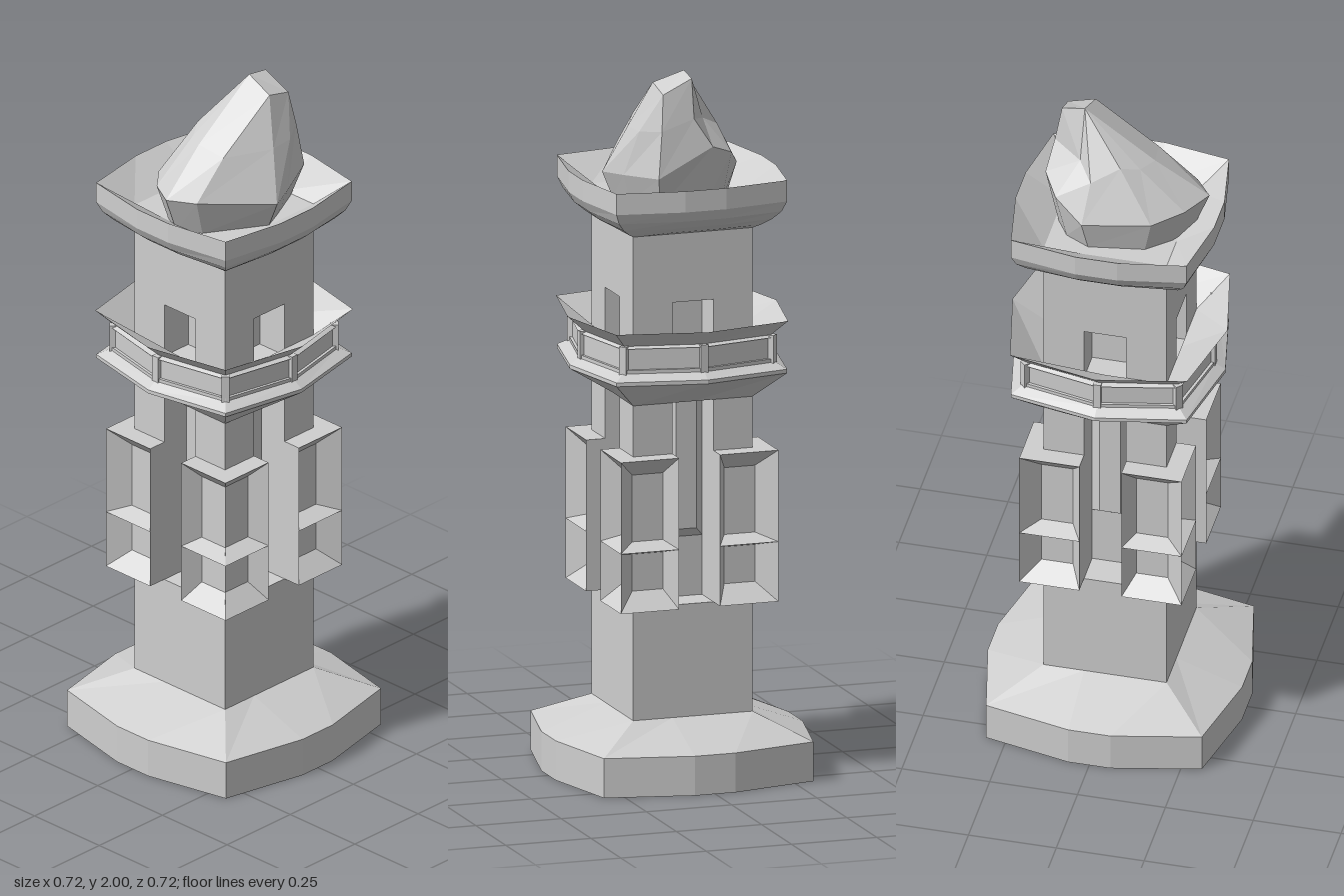
import * as THREE from 'three';

const stone = new THREE.MeshStandardMaterial({ color: 0xcfcfcf, side: THREE.DoubleSide });
stone.name = 'pale stone';

// Flat-faced skin through rings of [x, y, z] points, with optional caps
function loft(rings, capStart, capEnd) {
  const pos = [];
  const tri = (a, b, c) => pos.push(...a, ...b, ...c);
  const n = rings[0].length;
  for (let r = 0; r + 1 < rings.length; r++) {
    const a = rings[r], b = rings[r + 1];
    for (let i = 0; i < n; i++) {
      const j = (i + 1) % n;
      tri(a[i], a[j], b[j]);
      tri(a[i], b[j], b[i]);
    }
  }
  const last = rings[rings.length - 1];
  for (let i = 1; i + 1 < n; i++) {
    if (capStart) tri(rings[0][0], rings[0][i + 1], rings[0][i]);
    if (capEnd) tri(last[0], last[i], last[i + 1]);
  }
  const g = new THREE.BufferGeometry();
  g.setAttribute('position', new THREE.Float32BufferAttribute(pos, 3));
  g.computeVertexNormals();
  return g;
}

// Bulging square ring: corner distance c, side middle m, half width w of the flat middle
function bulge(y, c, m, w) {
  const side = w ? [[-c, c], [-w, m], [w, m]] : [[-c, c], [0, m]];
  const ring = [];
  for (let k = 0; k < 4; k++) {
    for (const p of side) {
      let [x, z] = p;
      for (let i = 0; i < k; i++) [x, z] = [z, -x];
      ring.push([x, y, z]);
    }
  }
  return ring;
}
const profile = (rows, w) => rows.map(([y, c, m]) => bulge(y, c, m, w));

export function createModel() {
  const model = new THREE.Group();
  const add = (geometry, name, parent = model) => {
    const mesh = new THREE.Mesh(geometry, stone);
    mesh.name = name;
    parent.add(mesh);
    return mesh;
  };

  // Base with sloping top
  add(loft(profile([[0, 0.307, 0.362], [0.112, 0.307, 0.362], [0.18, 0.175, 0.175]], 0.06), true, true), 'base');

  // Shaft: plain square stretches and stretches with a niche in each side
  const S = 0.175, N = 0.06, D = 0.08;
  const section = new THREE.Shape();
  for (let k = 0; k < 4; k++) {
    for (const p of [[-S, S], [-N, S], [-N, D], [N, D], [N, S]]) {
      let [x, z] = p;
      for (let i = 0; i < k; i++) [x, z] = [z, -x];
      if (k === 0 && x === -S) section.moveTo(x, z);
      else section.lineTo(x, z);
    }
  }
  section.closePath();
  const stretches = [[0.17, 0.5, false], [0.5, 1.09, true], [1.09, 1.2, false], [1.2, 1.36, true], [1.36, 1.58, false]];
  for (const [y0, y1, niche] of stretches) {
    const h = y1 - y0;
    if (niche) {
      const g = new THREE.ExtrudeGeometry(section, { depth: h, bevelEnabled: false });
      g.rotateX(-Math.PI / 2);
      g.translate(0, y0, 0);
      add(g, 'nichedShaft');
    } else {
      add(new THREE.BoxGeometry(2 * S, h, 2 * S), 'shaft').position.y = (y0 + y1) / 2;
    }
  }

  // Upright rectangle at depth z, counterclockwise from the front
  const rect = (x0, x1, y0, y1, z) => [[x0, y0, z], [x1, y0, z], [x1, y1, z], [x0, y1, z]];

  // Repeated details for each of the four sides
  const O = 0.231;
  for (let k = 0; k < 4; k++) {
    const side = new THREE.Group();
    side.name = 'sideDetails';
    side.rotation.y = k * Math.PI / 2;
    model.add(side);

    // Chamfered rib standing in the tall niche
    add(loft([rect(-0.06, 0.06, 0.67, 1.1, D), rect(-0.03, 0.03, 0.7, 1.1, 0.118)], false, true), 'nicheRib', side);

    // Sunk panels wrapping the corners
    for (const [y0, y1, i0, i1] of [[0.5, 0.67, 0.55, 0.655], [0.67, 0.93, 0.69, 0.88]]) {
      add(loft([rect(N, O, y0, y1, O), rect(0.09, 0.18, i0, i1, 0.18)], false, true), 'cornerPanel', side);
      add(loft([rect(-O, -N, y0, y1, O), rect(-0.18, -0.09, i0, i1, 0.18)], false, true), 'cornerPanel', side);
    }
    // Inner cheeks, tops and undersides of the corner blocks
    for (const s of [-1, 1]) {
      const cheek = add(new THREE.PlaneGeometry(O - S, 0.43), 'blockCheek', side);
      cheek.position.set(s * N, 0.715, (O + S) / 2);
      cheek.rotation.y = -s * Math.PI / 2;
    }
    for (const [y, s] of [[0.93, -1], [0.5, 1]]) {
      const cap = add(new THREE.PlaneGeometry(O - N, O - N), 'blockCap', side);
      cap.position.set((O + N) / 2, y, (O + N) / 2);
      cap.rotation.x = s * Math.PI / 2;
    }

    // Parapet posts at the middle and the corner
    add(new THREE.BoxGeometry(0.022, 0.08, 0.022), 'parapetPost', side).position.set(0, 1.217, 0.262);
    const corner = add(new THREE.BoxGeometry(0.022, 0.08, 0.022), 'parapetPost', side);
    corner.position.set(0.216, 1.217, 0.216);
    corner.rotation.y = Math.PI / 4;
  }

  // Gallery: flared underside, ledge, sunk band, flared rim and sloping inside
  add(loft(profile([
    [1.075, 0.175, 0.175], [1.152, 0.25, 0.3], [1.163, 0.25, 0.3], [1.18, 0.224, 0.272],
    [1.19, 0.224, 0.272], [1.19, 0.217, 0.264], [1.25, 0.217, 0.264], [1.25, 0.224, 0.272],
    [1.256, 0.215, 0.258], [1.3, 0.252, 0.306], [1.22, 0.175, 0.175],
  ], 0), false, false), 'gallery');

  // Fire bowl with rounded underside
  add(loft(profile([
    [1.555, 0.175, 0.175], [1.565, 0.192, 0.201], [1.585, 0.217, 0.236], [1.61, 0.238, 0.266],
    [1.64, 0.25, 0.283], [1.7, 0.25, 0.283], [1.63, 0.175, 0.175],
  ], 0.06), false, true), 'fireBowl');

  // Faceted flame leaning to one side
  const belly = [
    [-0.25, 1.745, 0.02], [-0.2, 1.74, 0.09], [0, 1.705, 0.205], [0.08, 1.71, 0.17], [0.205, 1.72, 0.11],
    [0.2, 1.8, -0.05], [0.155, 1.77, -0.12], [0.07, 1.72, -0.165], [-0.12, 1.73, -0.135], [-0.2, 1.74, -0.065],
  ];
  const middle = [
    [-0.1, 1.855, 0], [-0.09, 1.84, 0.085], [0.046, 1.84, 0.146], [0.12, 1.84, 0.138], [0.188, 1.85, 0.095],
    [0.185, 1.88, 0], [0.1, 1.86, -0.055], [0.057, 1.83, -0.112], [-0.02, 1.87, -0.08], [-0.07, 1.855, -0.05],
  ];
  const back = [0.1, 2, 0], front = [0.09, 1.97, 0.088], frontEnd = [0.168, 1.95, 0.085], backEnd = [0.165, 1.99, 0];
  const tip = [back, front, front, frontEnd, frontEnd, backEnd, backEnd, back, back, back];
  const foot = belly.map(([x, , z]) => [x * 0.82, 1.63, z * 0.85]);
  add(loft([foot, belly, middle, tip], true, true), 'flame');

  return model;
}
